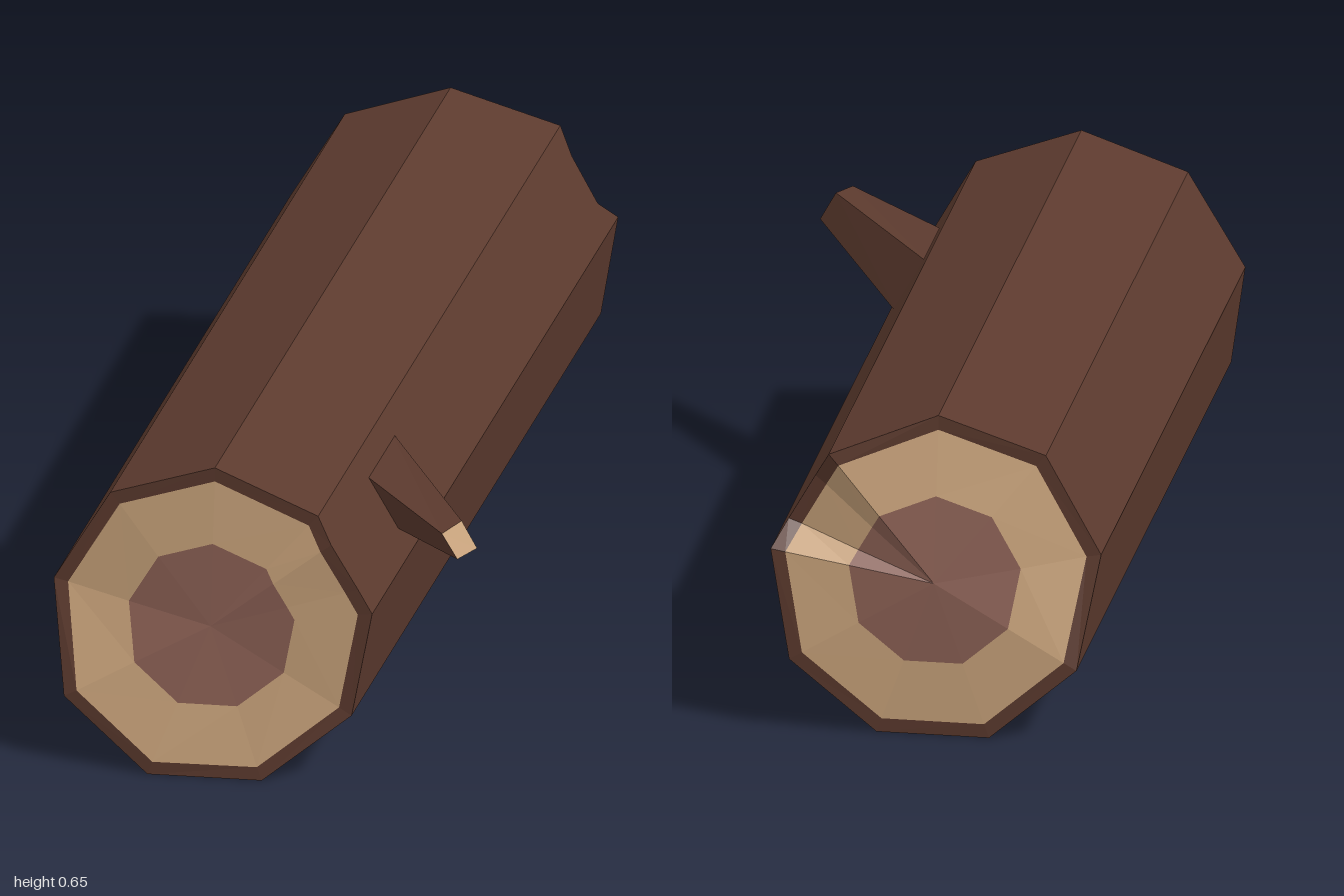
import * as THREE from 'three';

const material = (color) => new THREE.MeshStandardMaterial({ color, flatShading: true });
const BARK = material(0x5c3a2e);
const WOOD = material(0xc8a27a);
const HEART = material(0x8b6054);

// Mesh from polygons, each a convex loop of corners in counter-clockwise order
function polyMesh(name, polygons, mat) {
  const pos = [];
  for (const p of polygons) {
    for (let i = 1; i < p.length - 1; i++) pos.push(...p[0], ...p[i], ...p[i + 1]);
  }
  const geo = new THREE.BufferGeometry();
  geo.setAttribute('position', new THREE.Float32BufferAttribute(pos, 3));
  geo.computeVertexNormals();
  const mesh = new THREE.Mesh(geo, mat);
  mesh.name = name;
  return mesh;
}

const CX = -0.09, CY = 0.32, R = 0.335;

// Nine-sided outline, with two extra points on the upper left side for the notch
function outline() {
  const pts = [];
  for (let i = 0; i < 9; i++) {
    const a = Math.PI / 2 + (i * Math.PI * 2) / 9;
    pts.push([R * Math.cos(a), R * Math.sin(a)]);
  }
  const [p, q] = [pts[7], pts[8]];
  const between = (t) => [p[0] + (q[0] - p[0]) * t, p[1] + (q[1] - p[1]) * t];
  pts.splice(8, 0, between(0.25), between(0.73));
  return pts;
}

// Uneven saw cuts: depth at each outline point
const FRONT_Z = [0.905, 0.91, 0.92, 0.99, 1.0, 0.97, 0.93, 0.92, 0.92, 0.925, 0.91];
const BACK_Z = [-0.92, -0.905, -0.92, -0.985, -0.995, -0.99, -1.0, -0.985, -0.935, -0.94, -0.965];

// Loop of the outline scaled inward, its depth blended toward the centre depth
function ring(pts, zs, scale, centreZ, blend) {
  return pts.map(([x, y], i) =>
    [CX + x * scale, CY + y * scale, zs[i] + (centreZ - zs[i]) * blend]);
}

// Quads joining two loops
function band(a, b) {
  return a.map((_, i) => {
    const j = (i + 1) % a.length;
    return [a[i], a[j], b[j], b[i]];
  });
}

// Cut end: bark rim, pale wood ring and heartwood
function cutEnd(name, pts, zs, centreZ, flip) {
  const outer = ring(pts, zs, 1, centreZ, 0);
  const rim = ring(pts, zs, 0.91, centreZ, 0);
  const heart = ring(pts, zs, 0.52, centreZ, 0.5);
  const centre = [CX, CY, centreZ];
  const face = (polys) => (flip ? polys.map((p) => [...p].reverse()) : polys);
  const fan = heart.map((p, i) => [p, heart[(i + 1) % heart.length], centre]);
  const group = new THREE.Group();
  group.name = name;
  group.add(
    polyMesh('barkRim', face(band(outer, rim)), BARK),
    polyMesh('woodRing', face(band(rim, heart)), WOOD),
    polyMesh('heartwood', face(fan), HEART));
  return group;
}

// Tapered branch stub with a pale cut tip
function branch() {
  const base = [[0.135, 0.53, 0.6], [0.2, 0.42, 0.6], [0.2, 0.42, 0.39], [0.135, 0.53, 0.39]];
  const tip = [[0.363, 0.535, 0.84], [0.395, 0.482, 0.84], [0.42, 0.482, 0.78], [0.388, 0.539, 0.78]];
  const group = new THREE.Group();
  group.name = 'branch';
  group.add(
    polyMesh('branchBark', band(base, tip), BARK),
    polyMesh('branchTip', [tip], WOOD));
  return group;
}

export function createModel() {
  const log = new THREE.Group();
  log.name = 'log';
  const pts = outline();
  const front = ring(pts, FRONT_Z, 1, 0, 0);
  const back = ring(pts, BACK_Z, 1, 0, 0);
  log.add(
    polyMesh('bark', band(back, front), BARK),
    cutEnd('frontEnd', pts, FRONT_Z, 0.94, false),
    cutEnd('backEnd', pts, BACK_Z, -0.98, true),
    branch());
  // Rest the flat underside on the ground
  const box = new THREE.Box3().setFromObject(log);
  log.position.y = -box.min.y;
  return log;
}
